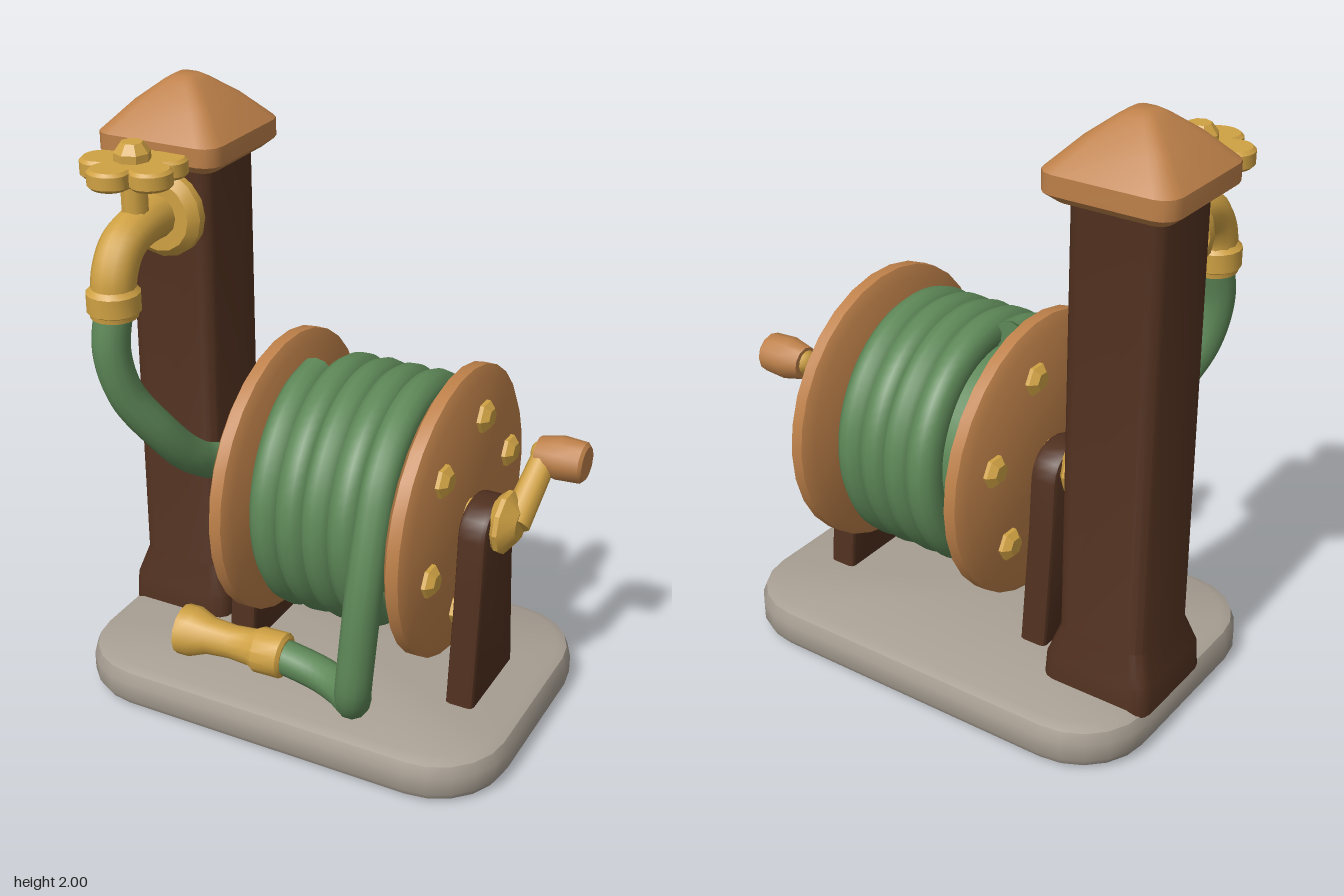
import * as THREE from 'three';
import { toCreasedNormals } from 'three/addons/utils/BufferGeometryUtils.js';

const V = (x, y, z) => new THREE.Vector3(x, y, z);
const mat = (color) => new THREE.MeshStandardMaterial({ color });
const stone = mat(0xa89f93), darkWood = mat(0x50301f), wood = mat(0xbd8049);
const brass = mat(0xcfa143), rubber = mat(0x5d8757);

export function createModel() {
  const model = new THREE.Group();

  const add = (name, geo, material, x = 0, y = 0, z = 0) => {
    const mesh = new THREE.Mesh(geo, material);
    mesh.name = name;
    mesh.position.set(x, y, z);
    model.add(mesh);
    return mesh;
  };

  // Stack of rounded rectangles: each section is [y, halfX, halfZ, cornerRadius]
  const loft = (sections, steps = 3) => {
    const pos = [], idx = [], n = 4 * (steps + 1);
    for (const [y, hx, hz, r] of sections) {
      for (let c = 0; c < 4; c++) {
        const sx = c === 0 || c === 3 ? 1 : -1, sz = c < 2 ? 1 : -1;
        for (let i = 0; i <= steps; i++) {
          const a = (c + i / steps) * Math.PI / 2;
          pos.push(sx * (hx - r) + r * Math.cos(a), y, sz * (hz - r) + r * Math.sin(a));
        }
      }
    }
    const last = (sections.length - 1) * n, bottom = pos.length / 3;
    pos.push(0, sections[0][0], 0, 0, sections[sections.length - 1][0], 0);
    for (let i = 0; i < n; i++) {
      const j = (i + 1) % n;
      for (let k = 0; k < last; k += n) idx.push(k + i, k + n + i, k + j, k + j, k + n + i, k + n + j);
      idx.push(bottom, i, j, bottom + 1, last + j, last + i);
    }
    const geo = new THREE.BufferGeometry();
    geo.setAttribute('position', new THREE.Float32BufferAttribute(pos, 3));
    geo.setIndex(idx);
    return toCreasedNormals(geo, 0.6);
  };

  // Turned part from [radius, height] pairs, around y or laid along +x
  const turned = (pairs, sides, alongX = false) => {
    const geo = new THREE.LatheGeometry(pairs.map(([r, h]) => new THREE.Vector2(r, h)), sides);
    if (alongX) geo.rotateZ(-Math.PI / 2);
    return toCreasedNormals(geo, 0.6);
  };

  const tube = (points, radius, segments, sides = 12) => {
    const curve = new THREE.CatmullRomCurve3(points);
    curve.arcLengthDivisions = 1200;
    return new THREE.TubeGeometry(curve, segments, radius, sides);
  };

  // Stone base
  add('base', loft([
    [0, 0.7, 0.45, 0.2], [0.015, 0.735, 0.485, 0.23], [0.04, 0.75, 0.5, 0.25],
    [0.1, 0.75, 0.5, 0.25], [0.135, 0.735, 0.485, 0.23], [0.15, 0.7, 0.45, 0.2],
  ], 5), stone, -0.01);

  // Post with flared foot and hipped cap
  add('post', loft([
    [0.13, 0.19, 0.19, 0.05], [0.23, 0.185, 0.185, 0.05],
    [0.33, 0.153, 0.153, 0.045], [1.78, 0.153, 0.153, 0.045],
  ]), darkWood, -0.57, 0, -0.1);
  add('postCap', loft([
    [1.75, 0.18, 0.18, 0.04], [1.78, 0.217, 0.217, 0.06], [1.84, 0.217, 0.217, 0.06],
    [1.925, 0.135, 0.135, 0.045], [1.985, 0.06, 0.06, 0.03], [2, 0.035, 0.035, 0.02],
  ]), wood, -0.57, 0, -0.1);

  // Tap: wall flange, elbow, collar
  add('tapFlange', turned([[0, 0], [0.143, 0], [0.143, 0.03], [0.115, 0.06], [0, 0.06]], 16),
    brass, -0.57, 1.6, 0.05).rotation.x = Math.PI / 2;
  add('tapElbow', tube([V(-0.57, 1.6, 0.05), V(-0.57, 1.6, 0.2), V(-0.57, 1.565, 0.3),
    V(-0.57, 1.49, 0.35), V(-0.57, 1.4, 0.36)], 0.071, 20), brass);
  add('tapCollar', turned([[0, 1.36], [0.075, 1.36], [0.077, 1.375], [0.085, 1.38], [0.085, 1.44],
    [0.07, 1.455], [0, 1.455]], 16), brass, -0.57, 0, 0.36);

  // Valve handle: five-lobed wheel on a stem
  add('valveStem', new THREE.CylinderGeometry(0.043, 0.043, 0.16, 10), brass, -0.57, 1.7, 0.22);
  const wheel = new THREE.Shape();
  for (let i = 0; i <= 80; i++) {
    const a = i / 80 * Math.PI * 2;
    const r = 0.1 + 0.07 * Math.sqrt(Math.abs(Math.cos(2.5 * (a + Math.PI / 2 + 0.15))));
    wheel[i ? 'lineTo' : 'moveTo'](r * Math.cos(a), r * Math.sin(a));
  }
  const wheelGeo = new THREE.ExtrudeGeometry(wheel, { depth: 0.04, bevelThickness: 0.01, bevelSize: 0.01, bevelOffset: -0.01, bevelSegments: 1 });
  wheelGeo.rotateX(-Math.PI / 2);
  add('valveWheel', toCreasedNormals(wheelGeo, 0.6), brass, -0.57, 1.765, 0.22);
  add('valveKnob', turned([[0.058, 0], [0.058, 0.025], [0.035, 0.055], [0, 0.055]], 8), brass, -0.57, 1.815, 0.22);

  // Feed hose from the tap to the reel hub
  add('feedHose', tube([V(-0.57, 1.4, 0.36), V(-0.572, 1.25, 0.385), V(-0.545, 1.1, 0.36),
    V(-0.48, 0.95, 0.28), V(-0.44, 0.83, 0.18), V(-0.41, 0.765, 0.08), V(-0.34, 0.76, 0)], 0.06, 40), rubber);

  // Reel: drum, axle, and mirrored discs, bolts, stands and hubs
  const CX = 0.13, CY = 0.76;
  const xBar = (r, length, sides) => new THREE.CylinderGeometry(r, r, length, sides).rotateZ(Math.PI / 2);
  add('drum', xBar(0.31, 0.56, 28), wood.clone(), CX, CY).material.color.copy(rubber.color);
  add('axle', xBar(0.05, 0.9, 12), brass, CX, CY);

  const stand = new THREE.Shape();
  stand.moveTo(-0.155, 0.13);
  stand.lineTo(0.155, 0.13);
  stand.lineTo(0.115, 0.55);
  stand.lineTo(0.105, 0.73);
  stand.quadraticCurveTo(0.095, 0.815, 0, 0.815);
  stand.quadraticCurveTo(-0.095, 0.815, -0.105, 0.73);
  stand.lineTo(-0.115, 0.55);
  const standGeo = toCreasedNormals(new THREE.ExtrudeGeometry(stand, {
    depth: 0.06, bevelThickness: 0.018, bevelSize: 0.015, bevelSegments: 2, curveSegments: 5,
  }).translate(0, 0, -0.03).rotateY(Math.PI / 2), 0.6);
  const discGeo = turned([[0, -0.042], [0.435, -0.042], [0.472, -0.02], [0.472, 0.02], [0.435, 0.042], [0, 0.042]], 30, true);
  const boltGeo = turned([[0.052, 0], [0.052, 0.015], [0.03, 0.035], [0, 0.035]], 6, true);
  const hubGeo = turned([[0.08, 0], [0.102, 0.025], [0.102, 0.04], [0.05, 0.08], [0, 0.08]], 10, true);

  for (const s of [1, -1]) {
    const turn = s > 0 ? 0 : Math.PI;
    add('reelDisc', discGeo, wood, CX + s * 0.3, CY);
    add('reelStand', standGeo, darkWood, CX + s * 0.4, 0);
    add('hub', hubGeo, brass, CX + s * 0.435, CY).rotation.y = turn;
    for (let i = 0; i < 6; i++) {
      const a = (45 + i * 60) * Math.PI / 180;
      add('bolt', boltGeo, brass, CX + s * 0.34, CY + 0.313 * Math.sin(a), 0.313 * Math.cos(a)).rotation.y = turn;
    }
  }

  // Crank arm and grip
  const armStart = V(0.625, CY, 0), armEnd = V(0.645, 0.92, -0.19);
  const arm = add('crankArm', new THREE.CylinderGeometry(0.042, 0.048, armStart.distanceTo(armEnd), 10), brass);
  arm.position.lerpVectors(armStart, armEnd, 0.5);
  arm.quaternion.setFromUnitVectors(V(0, 1, 0), armEnd.clone().sub(armStart).normalize());
  add('crankJoint', new THREE.SphereGeometry(0.046, 10, 8), brass, 0.64, 0.92, -0.19);
  add('crankGrip', turned([[0, 0], [0.055, 0], [0.071, 0.07], [0.066, 0.15], [0.055, 0.16], [0, 0.16]], 12, true), wood, 0.62, 0.918, -0.193);

  // Wound hose: helix around the drum, then down and along to the nozzle
  const R = 0.365, turns = 4.2, path = [];
  for (let i = 0; i <= 84; i++) {
    const t = i / 84 * turns, a = t * Math.PI * 2;
    path.push(V(-0.063 + 0.089 * t, CY + R * Math.cos(a), R * Math.sin(a)));
  }
  path.push(V(0.312, 0.68, 0.405), V(0.3, 0.45, 0.43), V(0.285, 0.29, 0.428), V(0.265, 0.225, 0.39),
    V(0.2, 0.212, 0.335), V(0.1, 0.214, 0.295), V(-0.06, 0.23, 0.28));
  add('woundHose', tube(path, 0.058, 300), rubber);
  add('hoseEnd', new THREE.CircleGeometry(0.058, 12), rubber, -0.063, CY + R, 0).rotation.y = Math.PI;

  // Nozzle with a recessed mouth
  const nozzle = add('nozzle', turned([[0, 0], [0.062, 0], [0.076, 0.01], [0.076, 0.1], [0.062, 0.125], [0.056, 0.2], [0.062, 0.28],
    [0.085, 0.34], [0.085, 0.385], [0.068, 0.385], [0.05, 0.33], [0, 0.33]], 14, true), brass, -0.03, 0.23, 0.28);
  nozzle.rotation.y = Math.PI + 0.04;

  return model;
}
